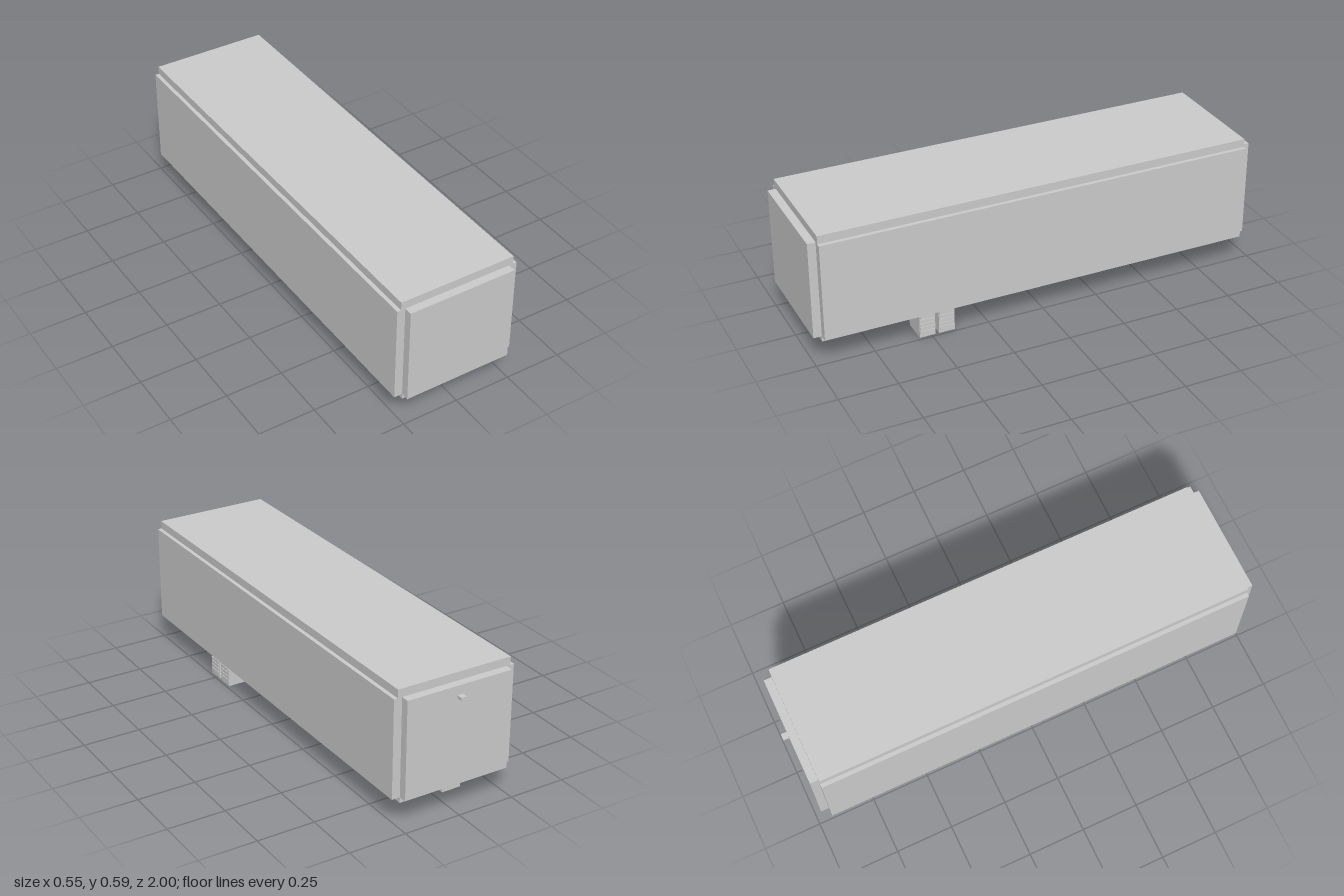
import * as THREE from 'three';

export function createModel() {
  const group = new THREE.Group();
  const grey = new THREE.MeshStandardMaterial({ color: 0xcccccc });
  grey.name = 'light grey';

  // Box given by its lower and upper limits on each axis
  const box = (name, [x0, x1], [y0, y1], [z0, z1]) => {
    const mesh = new THREE.Mesh(new THREE.BoxGeometry(x1 - x0, y1 - y0, z1 - z0), grey);
    mesh.position.set((x0 + x1) / 2, (y0 + y1) / 2, (z0 + z1) / 2);
    mesh.name = name;
    group.add(mesh);
    return mesh;
  };

  const BACK = -0.94, FRONT = 0.965;
  const length = [BACK, FRONT];
  const wallHeight = [0.127, 0.555];

  // Body core, raised roof, floor and centre beam
  box('core', [-0.25, 0.25], wallHeight, length);
  box('roof', [-0.257, 0.257], [0.555, 0.591], length);
  box('floor', [-0.238, 0.238], [0.102, 0.127], length);
  box('centreBeam', [-0.042, 0.042], [0.086, 0.102], length);

  // Side walls stand proud of the core
  for (const s of [-1, 1]) {
    box(s > 0 ? 'leftWall' : 'rightWall', s > 0 ? [0.25, 0.274] : [-0.274, -0.25], wallHeight, length);
  }

  // End panels and the small rear knob
  box('frontPanel', [-0.238, 0.238], wallHeight, [FRONT, 1]);
  box('backPanel', [-0.238, 0.238], wallHeight, [-0.975, BACK]);
  box('rearKnob', [-0.013, 0.013], [0.503, 0.515], [-1, -0.975]);

  // Equipment box under the right side
  box('equipmentBox', [-0.205, -0.14], [0.02, 0.102], [-0.513, -0.362]);
  box('equipmentBase', [-0.197, -0.139], [0.016, 0.026], [-0.512, -0.363]);

  // Pair of louvred units under the left side
  for (const [z0, z1] of [[0.396, 0.466], [0.482, 0.551]]) {
    box('louvreUnit', [0.13, 0.238], [0.002, 0.127], [z0, z1]);
    for (let i = 0; i < 6; i++) {
      const y = 0.02 + i * 0.018;
      box('louvreSlat', [0.236, 0.241], [y, y + 0.012], [z0 + 0.004, z1 - 0.004]);
    }
  }

  // Small shallow fittings under the floor
  const fitting = (x, z, rx, rz) => {
    const mesh = new THREE.Mesh(new THREE.SphereGeometry(1, 16, 10), grey);
    mesh.scale.set(rx, 0.006, rz);
    mesh.position.set(x, 0.102, z);
    mesh.name = 'floorFitting';
    group.add(mesh);
  };
  fitting(0.06, 0.122, 0.02, 0.024);
  fitting(0.12, 0.27, 0.01, 0.008);

  return group;
}
